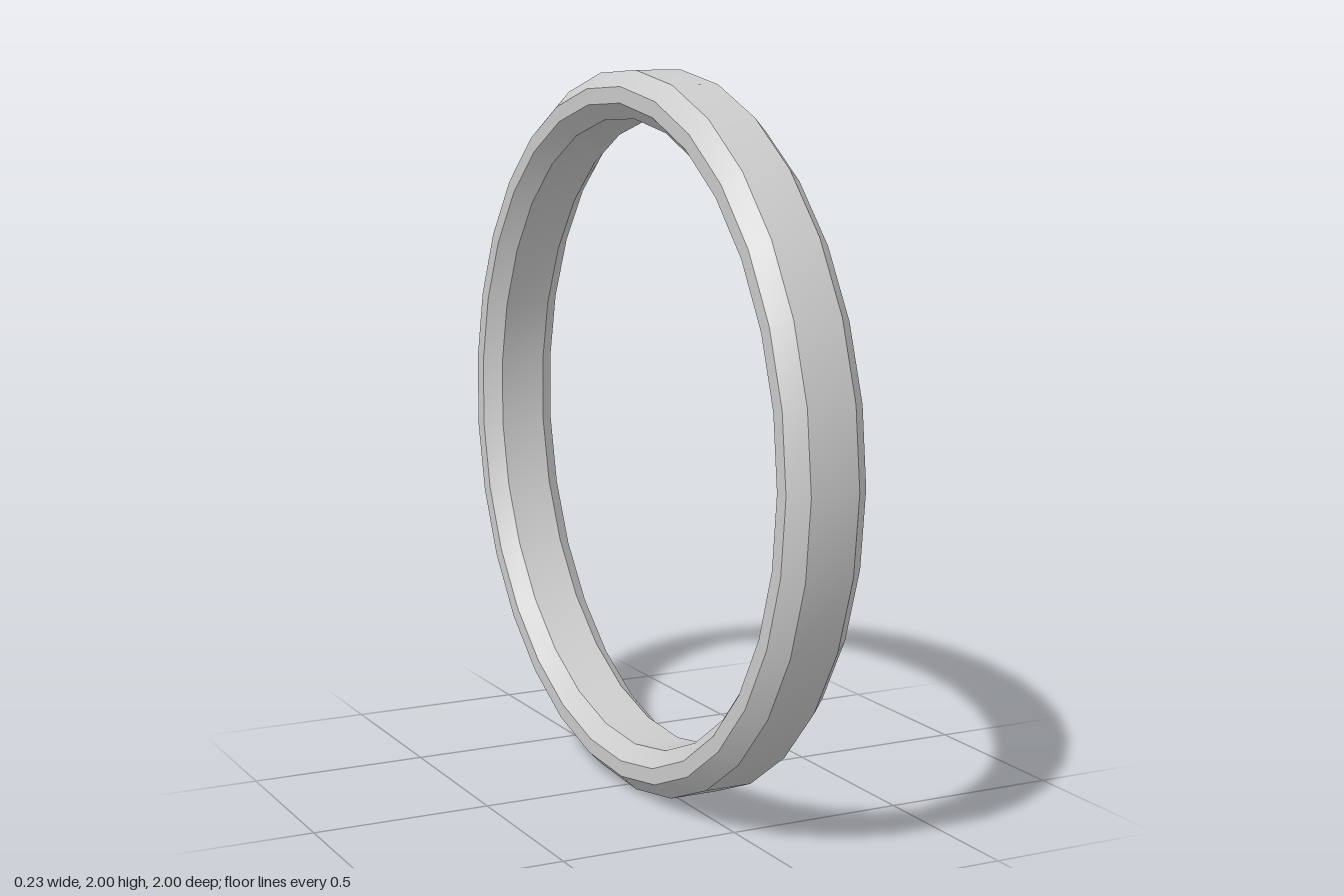
import * as THREE from 'three';
import { toCreasedNormals } from 'three/addons/utils/BufferGeometryUtils.js';

export function createModel() {
  const group = new THREE.Group();
  group.name = 'ring';

  // Bevelled octagonal section (radius, width), outer side first, closed
  const section = [
    [1.0015, -0.068], [1.0015, 0.068], [0.958, 0.113], [0.914, 0.113],
    [0.871, 0.068], [0.871, -0.068], [0.914, -0.113], [0.958, -0.113],
    [1.0015, -0.068],
  ].map(([r, w]) => new THREE.Vector2(r, w));

  // Swept in 29 steps, smooth around the hoop and sharp along the bevels
  const lathe = new THREE.LatheGeometry(section, 29);
  lathe.rotateZ(Math.PI / 2);
  const geometry = toCreasedNormals(lathe, Math.PI / 6);
  geometry.translate(0, 1, -0.003);

  const band = new THREE.Mesh(geometry, new THREE.MeshStandardMaterial({ color: 0xcccccc }));
  band.name = 'band';
  group.add(band);
  return group;
}
